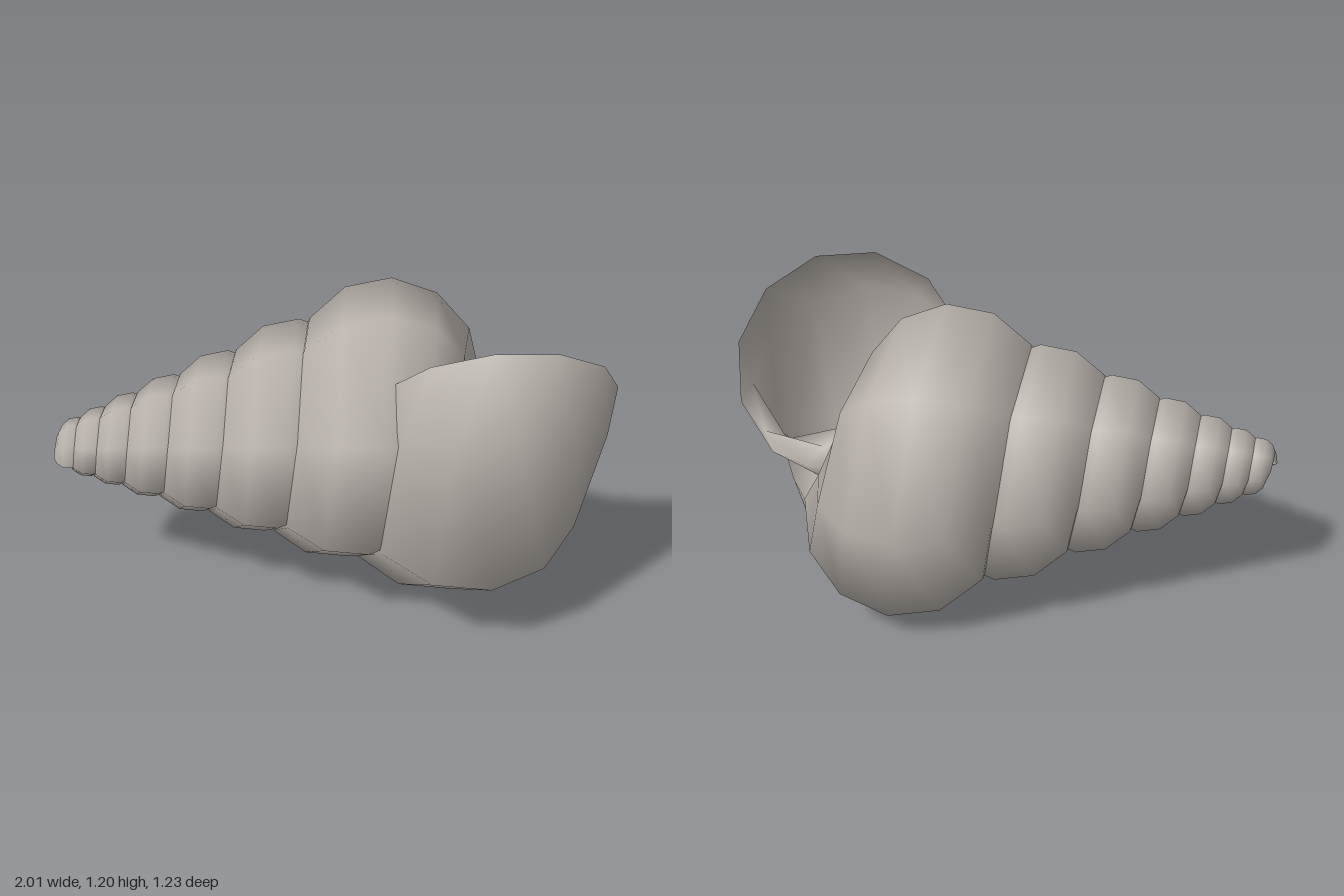
import * as THREE from 'three';

// A round tube swept along a growing spiral around the x axis.
const RINGS_PER_TURN = 7;
const SIDES = 12;
const GROWTH = 1.325;            // size ratio from one turn to the next
const APEX = { x: -1.18, y: 0.635, z: -0.015 };
const TUBE = { along: 1.725, out: 0.285, radius: 0.422 }; // full-size tube section
const LAST_ANGLE = THREE.MathUtils.degToRad(26.4);
const RING_COUNT = 50;

// One ring of the tube; step 0 is the last full ring, negative steps run to the tip
function addRing(points, step, phase) {
  const angle = LAST_ANGLE + step * Math.PI * 2 / RINGS_PER_TURN;
  const size = Math.pow(GROWTH, step / RINGS_PER_TURN);
  for (let j = 0; j < SIDES; j++) {
    const turn = phase + j * Math.PI * 2 / SIDES;
    const along = size * (TUBE.along + TUBE.radius * Math.cos(turn));
    const out = size * (TUBE.out + TUBE.radius * Math.sin(turn));
    points.push(
      APEX.x + along,
      APEX.y + out * Math.sin(angle),
      APEX.z + out * Math.cos(angle)
    );
  }
}

function spiralGeometry() {
  const points = [];
  const faces = [];
  const phase = THREE.MathUtils.degToRad(24);
  for (let k = -RING_COUNT; k <= 0; k++) addRing(points, k, phase);
  // Half a step further: the lip of the opening, turned by half a side
  addRing(points, 0.5, phase - Math.PI / SIDES);

  const rings = points.length / 3 / SIDES;
  for (let i = 0; i < rings - 1; i++) {
    for (let j = 0; j < SIDES; j++) {
      const n = (j + 1) % SIDES;
      const a = i * SIDES + j;
      const b = (i + 1) * SIDES + j;
      const c = (i + 1) * SIDES + n;
      const d = i * SIDES + n;
      faces.push(a, b, c, a, c, d);
    }
  }

  const geometry = new THREE.BufferGeometry();
  geometry.setAttribute('position', new THREE.Float32BufferAttribute(points, 3));
  geometry.setIndex(faces);
  geometry.computeVertexNormals();
  return geometry;
}

export function createModel() {
  const group = new THREE.Group();
  group.name = 'seaShell';

  // Open at the mouth, so both sides show
  const shellGrey = new THREE.MeshStandardMaterial({ color: 0xb8b1ab, side: THREE.DoubleSide });
  shellGrey.name = 'warmGrey';

  const shell = new THREE.Mesh(spiralGeometry(), shellGrey);
  shell.name = 'spiralShell';
  group.add(shell);
  return group;
}
